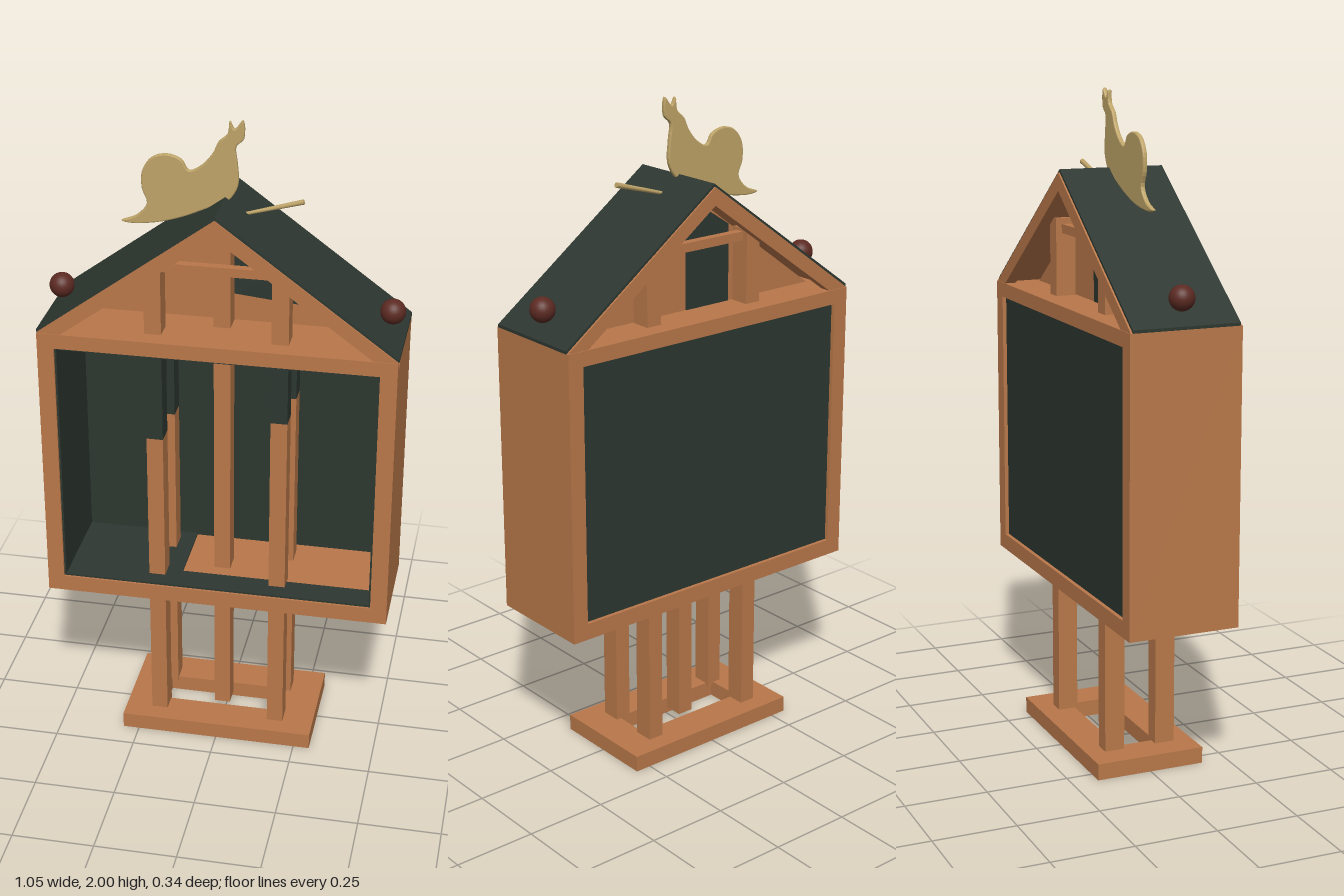
import * as THREE from 'three';

const wood = new THREE.MeshStandardMaterial({ color: 0xb9784a });
wood.name = 'warm wood';
const dark = new THREE.MeshStandardMaterial({ color: 0x2d3730 });
dark.name = 'dark green paint';
const gold = new THREE.MeshStandardMaterial({ color: 0xbfa468 });
gold.name = 'pale gold';
const red = new THREE.MeshStandardMaterial({ color: 0x5c2a22 });
red.name = 'dark red';

export function createModel() {
  const model = new THREE.Group();

  const add = (name, geometry, material, x = 0, y = 0, z = 0) => {
    const mesh = new THREE.Mesh(geometry, material);
    mesh.name = name;
    mesh.position.set(x, y, z);
    model.add(mesh);
    return mesh;
  };
  // Box given by its limits on each axis
  const box = (name, material, [x0, x1], [y0, y1], [z0, z1]) =>
    add(name, new THREE.BoxGeometry(x1 - x0, y1 - y0, z1 - z0), material,
      (x0 + x1) / 2, (y0 + y1) / 2, (z0 + z1) / 2);
  const poly = (points) => points.map(([x, y]) => new THREE.Vector2(x, y));
  const rect = (x, y0, y1) => poly([[-x, y0], [x, y0], [x, y1], [-x, y1]]);
  // Outline extruded along z, centred on z = 0
  const slab = (outline, depth, hole) => {
    const shape = new THREE.Shape(outline);
    if (hole) shape.holes.push(new THREE.Path(hole));
    return new THREE.ExtrudeGeometry(shape, { depth, bevelEnabled: false }).translate(0, 0, -depth / 2);
  };

  // Base plate with a rectangular opening
  const base = slab(rect(0.3, -0.17, 0.17), 0.05, rect(0.19, -0.06, 0.06));
  base.rotateX(-Math.PI / 2);
  add('basePlate', base, wood, 0, 0.025, 0);

  // Cabinet frame, back panel and dark lining
  add('cabinetFrame', slab(rect(0.525, 0.5, 1.375), 0.34, rect(0.475, 0.55, 1.33)), wood);
  box('backPanel', dark, [-0.475, 0.475], [0.55, 1.33], [-0.158, -0.148]);
  for (const s of [-1, 1]) {
    box('sideLining', dark, s < 0 ? [-0.475, -0.469] : [0.469, 0.475], [0.55, 1.33], [-0.15, 0.163]);
  }
  box('ceilingLining', dark, [-0.47, 0.47], [1.324, 1.33], [-0.15, 0.163]);
  box('floorLining', dark, [-0.47, -0.12], [0.55, 0.556], [-0.15, 0.163]);
  box('floorFrontLining', dark, [-0.12, 0.47], [0.55, 0.556], [0.08, 0.163]);

  // Five posts running from base to attic; the outer ones are partly painted
  const post = (name, x, z, top, paintFrom) => {
    const xs = [x - 0.025, x + 0.025];
    const zs = [z - 0.031, z + 0.031];
    box(name, wood, xs, [0.04, paintFrom ?? top], zs);
    if (paintFrom) {
      box(name + 'Painted', dark, xs, [paintFrom, 1.33], zs);
      box(name + 'Top', wood, xs, [1.33, top], zs);
    }
  };
  post('centrePost', -0.005, 0, 1.73);
  for (const z of [-0.082, 0.082]) {
    post('leftPost', 0.18, z, 1.61, 1.12);
    post('rightPost', -0.193, z, 1.6, 1.03);
    box('tieBar', wood, [-0.19, 0.18], [1.565, 1.592], [z - 0.013, z + 0.013]);
  }

  // Gable rafters at both ends
  const gable = poly([
    [-0.525, 1.375], [-0.455, 1.375], [0, 1.708], [0.455, 1.375], [0.525, 1.375], [0, 1.762],
  ]);
  for (const z of [-0.15, 0.15]) add('gableRafters', slab(gable, 0.035), wood, 0, 0, z);

  // Roof boards: wooden underside and dark outer skin
  const chevron = (low, high) => poly([
    [-0.527, 1.375 + low], [0, 1.762 + low], [0.527, 1.375 + low],
    [0.527, 1.375 + high], [0, 1.762 + high], [-0.527, 1.375 + high],
  ]);
  add('roofUnderside', slab(chevron(-0.025, 0), 0.3), wood);
  add('roofSkin', slab(chevron(0, 0.009), 0.325), dark);

  // Attic partition with a dark painted area on each face
  const wall = poly([[-0.47, 1.375], [0.47, 1.375], [0, 1.725]]);
  add('atticWall', slab(wall, 0.014), wood, 0, 0, -0.04);
  const patch = poly([[0.02, 1.46], [0.22, 1.44], [0.22, 1.575], [0.02, 1.71]]);
  add('atticFrontPaint', slab(patch, 0.006), dark, 0, 0, -0.031);
  const backPatch = poly([[-0.15, 1.376], [0.01, 1.376], [0.01, 1.715], [-0.15, 1.61]]);
  add('atticBackPaint', slab(backPatch, 0.006), dark, 0, 0, -0.049);

  // Round finials at the eaves
  for (const x of [-0.49, 0.487]) {
    add('eaveBall', new THREE.SphereGeometry(0.037, 24, 16), red, x, 1.457, 0);
  }

  // Flat animal figure on the ridge, drawn as a smooth closed curve
  const figure = [
    [-0.304, 1.676], [-0.26, 1.695], [-0.228, 1.735], [-0.242, 1.778], [-0.24, 1.832],
    [-0.212, 1.873], [-0.168, 1.886], [-0.126, 1.872], [-0.105, 1.842], [-0.068, 1.86],
    [-0.036, 1.898], [-0.02, 1.932], [0.006, 1.957], [0.012, 1.994], [0.026, 1.972],
    [0.049, 1.998], [0.052, 1.944], [0.03, 1.92], [0.034, 1.872], [0.036, 1.805],
    [0.006, 1.757], [-0.045, 1.735], [-0.125, 1.7], [-0.2, 1.678], [-0.28, 1.67],
  ].map(([x, y]) => new THREE.Vector3(x, y, 0));
  const curve = new THREE.CatmullRomCurve3(figure, true, 'centripetal');
  const outline = curve.getPoints(100).slice(0, -1).map((p) => new THREE.Vector2(p.x, p.y));
  const body = new THREE.ExtrudeGeometry(new THREE.Shape(outline), {
    depth: 0.006, bevelEnabled: true, bevelThickness: 0.004, bevelSize: 0.004,
    bevelOffset: -0.004, bevelSegments: 2,
  });
  add('ridgeAnimal', body, gold, 0, 0, -0.003);

  // Thin stick beside the animal
  const stick = new THREE.CylinderGeometry(0.008, 0.005, 0.178, 8);
  add('stick', stick, gold, 0.138, 1.746, 0).rotation.z = -1.29;

  return model;
}
